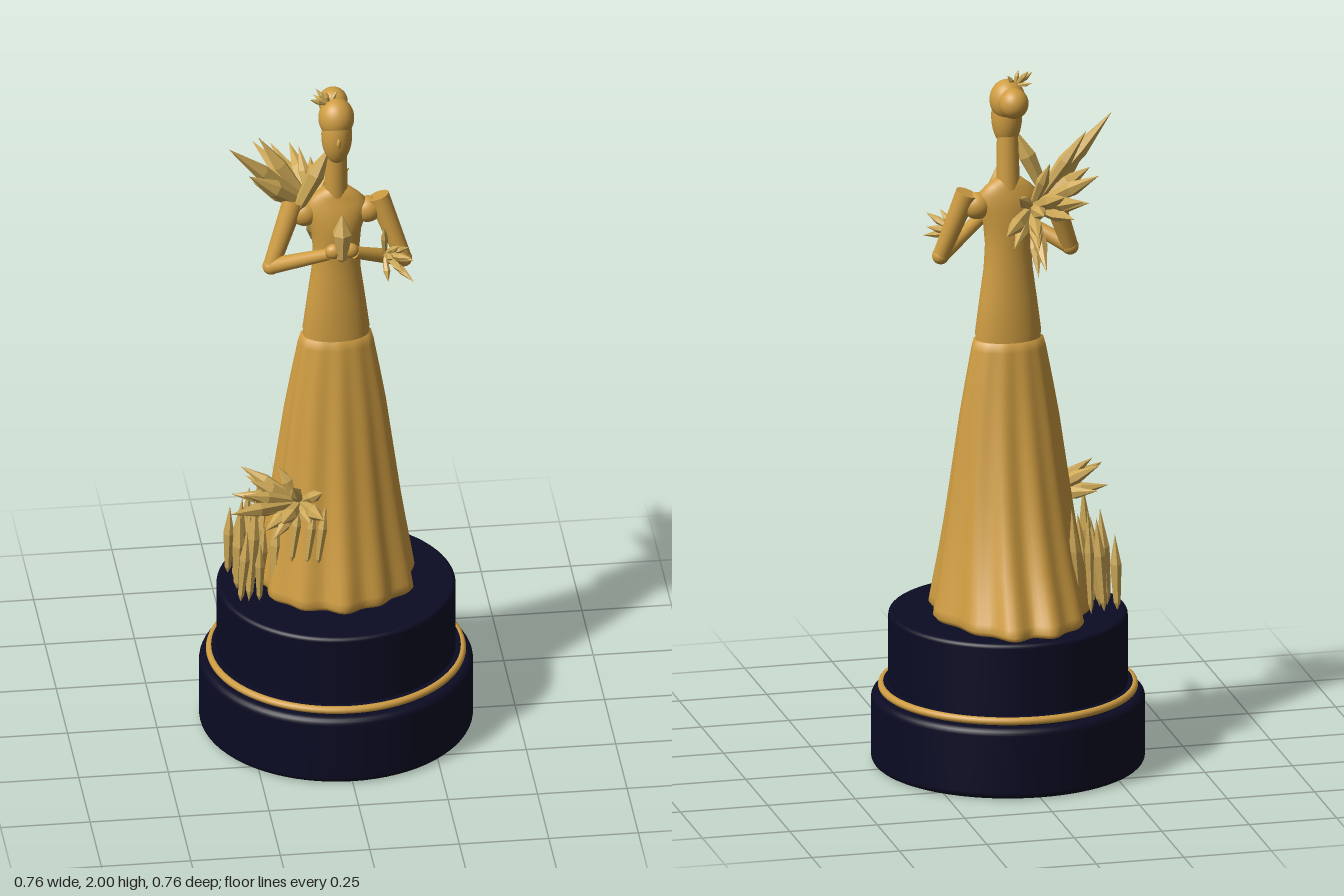
import * as THREE from 'three';

const navy = new THREE.MeshStandardMaterial({ color: 0x0b0b24 });
navy.name = 'navy';
const gold = new THREE.MeshStandardMaterial({ color: 0xcf9d42 });
gold.name = 'gold';
const paleGold = new THREE.MeshStandardMaterial({ color: 0xcfaa58, flatShading: true });
paleGold.name = 'paleGold';

const V = (x, y, z) => new THREE.Vector3(x, y, z);
const UP = V(0, 1, 0);

export function createModel() {
  const model = new THREE.Group();
  model.name = 'statuette';

  let seed = 7;
  const rand = (a, b) => {
    seed = (seed * 16807) % 2147483647;
    return a + (b - a) * (seed / 2147483647);
  };

  const add = (name, geo, mat, parent = model) => {
    const m = new THREE.Mesh(geo, mat);
    m.name = name;
    parent.add(m);
    return m;
  };

  // Rounded disc as a lathe
  const disc = (r, y0, y1, b) => {
    const p = [new THREE.Vector2(0, y0)];
    for (let i = 0; i <= 5; i++) {
      const a = (i / 5) * Math.PI / 2;
      p.push(new THREE.Vector2(r - b + b * Math.sin(a), y0 + b - b * Math.cos(a)));
    }
    for (let i = 0; i <= 5; i++) {
      const a = (i / 5) * Math.PI / 2;
      p.push(new THREE.Vector2(r - b + b * Math.cos(a), y1 - b + b * Math.sin(a)));
    }
    p.push(new THREE.Vector2(0, y1));
    return new THREE.LatheGeometry(p, 72);
  };

  // Loft of [y, half width, front depth, back depth, pleat depth]
  const loft = (sections, n = 96) => {
    const pos = [], idx = [];
    sections.forEach(([y, rx, zf, zb, amp = 0]) => {
      for (let j = 0; j < n; j++) {
        const t = (j / n) * Math.PI * 2;
        const k = 1 + amp * (0.6 * Math.cos(11 * t + 0.6 * Math.sin(2 * t)) + 0.4 * Math.sin(7 * t + 1));
        const c = Math.cos(t);
        pos.push(rx * k * Math.sin(t), y, (c > 0 ? zf : zb) * k * c);
      }
    });
    for (let i = 0; i < sections.length - 1; i++) {
      for (let j = 0; j < n; j++) {
        const a = i * n + j, b = i * n + (j + 1) % n;
        idx.push(a, b, b + n, a, b + n, a + n);
      }
    }
    const g = new THREE.BufferGeometry();
    g.setAttribute('position', new THREE.Float32BufferAttribute(pos, 3));
    g.setIndex(idx);
    g.computeVertexNormals();
    return g;
  };

  // Tapered limb between two points
  const limb = (name, a, b, ra, rb, parent) => {
    const d = b.clone().sub(a);
    const m = add(name, new THREE.CylinderGeometry(rb, ra, d.length(), 20), gold, parent);
    m.position.copy(a).addScaledVector(d, 0.5);
    m.quaternion.setFromUnitVectors(UP, d.normalize());
  };

  const ball = (name, x, y, z, rx, ry, rz, parent) => {
    const m = add(name, new THREE.SphereGeometry(1, 28, 20), gold, parent);
    m.position.set(x, y, z);
    m.scale.set(rx, ry, rz);
  };

  // Six-sided pointed crystal from base to tip
  const crystalGeo = new THREE.LatheGeometry([[0, 0], [0.6, 0.1], [1, 0.6], [0, 1]].map(([x, y]) => new THREE.Vector2(x, y)), 6);
  const crystal = (name, base, tip, w, parent) => {
    const d = tip.clone().sub(base);
    const m = add(name, crystalGeo, paleGold, parent);
    m.position.copy(base);
    m.scale.set(w, d.length(), w);
    m.quaternion.setFromUnitVectors(UP, d.normalize());
  };
  const spray = (name, base, tips) => {
    const g = new THREE.Group();
    g.name = name;
    model.add(g);
    tips.forEach(([x, y, z, w]) => crystal(name + 'Crystal', base, V(x, y, z), w, g));
    return g;
  };

  // Pedestal
  add('lowerBase', disc(0.38, 0, 0.205, 0.02), navy);
  add('upperBase', disc(0.332, 0.19, 0.436, 0.012), navy);
  const ring = add('baseRing', new THREE.TorusGeometry(0.35, 0.011, 10, 96), gold);
  ring.rotation.x = Math.PI / 2;
  ring.position.y = 0.22;
  add('ringSeat', new THREE.CylinderGeometry(0.348, 0.348, 0.03, 72), navy).position.y = 0.215;

  // Pleated skirt with a short train
  add('skirt', loft([
    [0.437, 0, 0, 0], [0.437, 0.205, 0.185, 0.3, 0.07], [0.45, 0.215, 0.194, 0.31, 0.075],
    [0.47, 0.212, 0.19, 0.295, 0.075], [0.53, 0.203, 0.175, 0.26, 0.07], [0.6, 0.192, 0.158, 0.222, 0.065],
    [0.7, 0.177, 0.138, 0.182, 0.06], [0.8, 0.164, 0.122, 0.152, 0.055], [0.9, 0.151, 0.108, 0.127, 0.05],
    [1.0, 0.138, 0.094, 0.105, 0.045], [1.1, 0.122, 0.08, 0.087, 0.035], [1.2, 0.105, 0.066, 0.072, 0.02],
    [1.225, 0.099, 0.06, 0.066, 0.01], [1.23, 0.08, 0.05, 0.05],
  ]), gold);

  // Fitted bodice and shoulders
  add('bodice', loft([
    [1.18, 0.09, 0.055, 0.06], [1.25, 0.093, 0.057, 0.062], [1.35, 0.08, 0.053, 0.055],
    [1.43, 0.069, 0.049, 0.049], [1.5, 0.065, 0.048, 0.046], [1.56, 0.07, 0.054, 0.046],
    [1.61, 0.085, 0.05, 0.046], [1.645, 0.088, 0.038, 0.04], [1.67, 0.064, 0.03, 0.033],
    [1.69, 0.038, 0.026, 0.027], [1.7, 0, 0, 0],
  ], 48), gold);

  // Neck, head and hair bun
  limb('neck', V(0, 1.66, -0.003), V(0, 1.83, 0.008), 0.033, 0.029);
  const head = new THREE.Group();
  head.name = 'head';
  model.add(head);
  ball('face', 0, 1.866, 0.015, 0.043, 0.088, 0.046, head);
  ball('hair', 0, 1.915, 0.006, 0.05, 0.058, 0.052, head);
  ball('nose', 0, 1.862, 0.06, 0.006, 0.014, 0.007, head);
  ball('hairBun', 0, 1.925, -0.066, 0.041, 0.043, 0.042, head);

  // Bent arms meeting in front of the chest
  for (const s of [1, -1]) {
    const arm = new THREE.Group();
    arm.name = s > 0 ? 'leftArm' : 'rightArm';
    model.add(arm);
    const elbow = V(s * 0.185, 1.468, 0.03), wrist = V(s * 0.035, 1.55, 0.125);
    limb('upperArm', V(s * 0.118, 1.655, 0), elbow, 0.031, 0.023, arm);
    ball('shoulder', s * 0.088, 1.615, 0, 0.04, 0.038, 0.034, arm);
    ball('elbow', elbow.x, elbow.y, elbow.z, 0.024, 0.024, 0.024, arm);
    limb('forearm', elbow, wrist, 0.023, 0.017, arm);
    ball('hand', s * 0.022, 1.56, 0.13, 0.025, 0.022, 0.018, arm);
  }
  crystal('heldCrystal', V(0, 1.525, 0.135), V(0, 1.68, 0.135), 0.028, model);

  // Small crown of crystals in the hair
  spray('crown', V(-0.02, 1.955, 0), [
    [-0.075, 1.985, 0.02, 0.008], [-0.055, 2.0, -0.015, 0.008], [-0.03, 2.0, 0.005, 0.007],
    [0.005, 1.99, -0.015, 0.007], [-0.06, 1.97, -0.035, 0.007],
  ]);

  // Crystal wing growing from the right shoulder blade
  const wing = spray('shoulderSpray', V(-0.06, 1.61, -0.035), [
    [-0.305, 1.85, 0.03, 0.022], [-0.21, 1.83, -0.06, 0.02], [-0.25, 1.77, 0.05, 0.026],
    [-0.23, 1.71, -0.02, 0.024], [-0.21, 1.74, -0.2, 0.022], [-0.15, 1.69, -0.27, 0.02],
    [-0.1, 1.7, -0.25, 0.022], [-0.04, 1.65, -0.25, 0.02], [0.07, 1.6, -0.26, 0.022],
    [0.01, 1.68, -0.17, 0.018], [-0.13, 1.63, -0.24, 0.02], [-0.2, 1.64, -0.13, 0.022],
    [-0.06, 1.47, -0.2, 0.02], [-0.03, 1.54, -0.23, 0.02], [-0.05, 1.44, -0.15, 0.018],
    [-0.09, 1.76, -0.12, 0.018], [0.03, 1.54, -0.19, 0.018], [-0.02, 1.59, -0.27, 0.018],
  ]);
  crystal('shoulderSprayCrystal', V(-0.115, 1.62, 0.01), V(-0.02, 1.83, 0.02), 0.026, wing);

  // Sprig on the left wrist
  spray('wristSprig', V(0.125, 1.515, 0.085), [
    [0.19, 1.55, 0.18, 0.011], [0.17, 1.5, 0.175, 0.011], [0.2, 1.52, 0.14, 0.011],
    [0.12, 1.62, 0.12, 0.011], [0.13, 1.45, 0.13, 0.01], [0.195, 1.48, 0.19, 0.011],
    [0.16, 1.57, 0.14, 0.01], [0.195, 1.53, 0.08, 0.01], [0.14, 1.54, 0.16, 0.01],
  ]);

  // Flowering fan beside the skirt
  spray('lowerFan', V(-0.11, 0.735, 0.075), [
    [-0.32, 0.78, 0.2, 0.021], [-0.28, 0.81, 0.15, 0.02], [-0.25, 0.82, 0.09, 0.02],
    [-0.18, 0.76, 0.235, 0.022], [-0.07, 0.79, 0.28, 0.021], [-0.1, 0.75, 0.23, 0.02],
    [-0.22, 0.71, 0.18, 0.02], [-0.3, 0.76, 0.05, 0.02], [-0.06, 0.82, 0.18, 0.018],
    [-0.2, 0.69, 0.2, 0.018], [-0.27, 0.83, 0.02, 0.019], [-0.17, 0.845, 0.06, 0.018],
    [-0.14, 0.83, 0.16, 0.018], [-0.27, 0.73, 0.12, 0.018], [-0.25, 0.77, -0.03, 0.018],
  ]);

  // Upright crystals standing on the base
  const thicket = new THREE.Group();
  thicket.name = 'baseCrystals';
  model.add(thicket);
  for (let i = 0; i < 16; i++) {
    const x = -0.285 + 0.1 * ((i % 4) / 3) + rand(-0.008, 0.008);
    const z = -0.09 + 0.06 * Math.floor(i / 4) + rand(-0.015, 0.015);
    crystal('baseCrystal', V(x, 0.435, z), V(x + rand(-0.005, 0.03), rand(0.62, 0.78), z + rand(-0.02, 0.02)), rand(0.013, 0.02), thicket);
  }
  for (const [x, z] of [[-0.14, 0.12], [-0.1, 0.14], [-0.07, 0.145]]) {
    crystal('skirtCrystal', V(x, 0.57, z), V(x + 0.025, 0.76, z - 0.01), 0.014, thicket);
  }

  return model;
}
